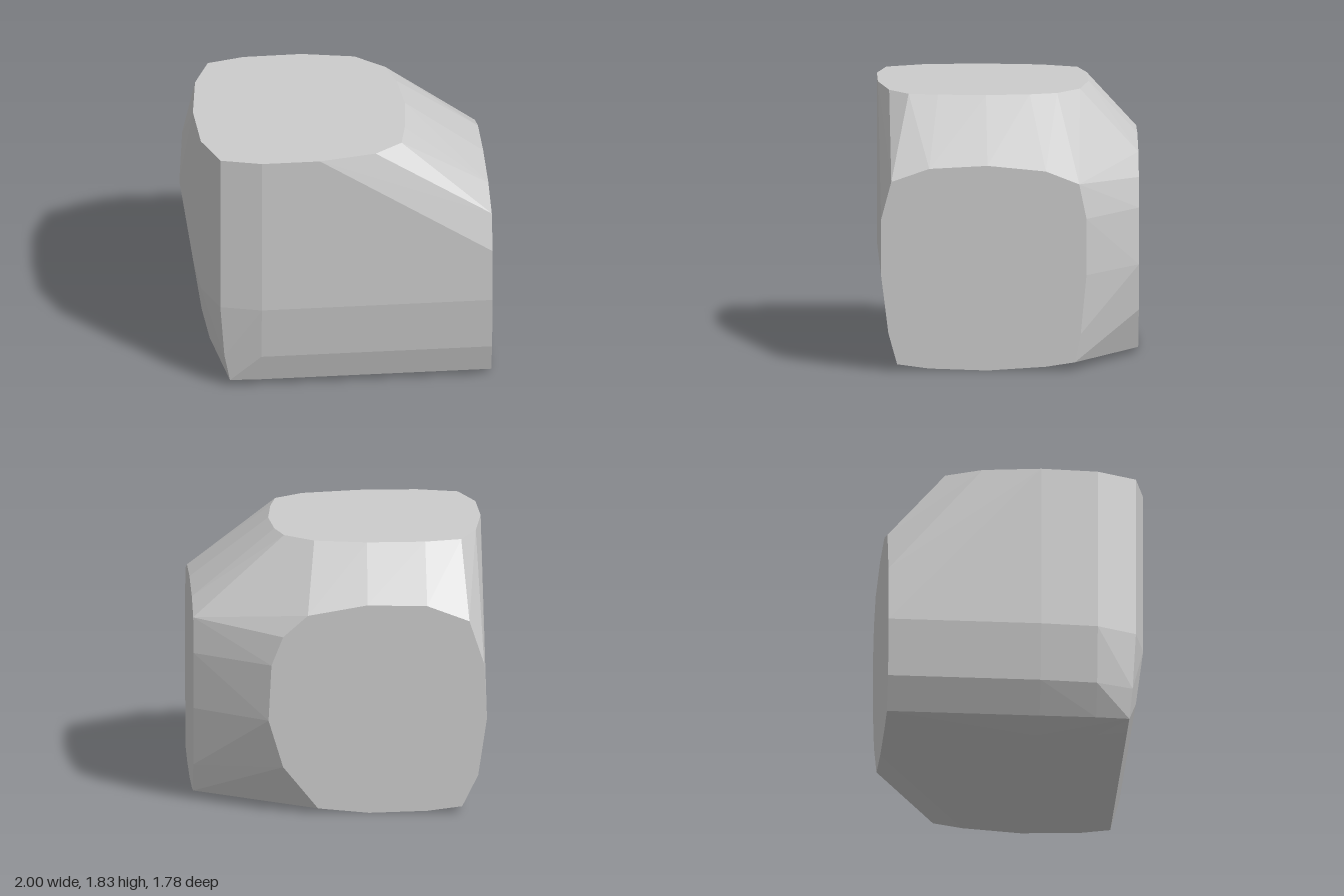
import * as THREE from 'three';
import { ConvexGeometry } from 'three/addons/geometries/ConvexGeometry.js';

const TOP = 1.83, SIDE = 1, BACK = -0.89;

// Flat rounded-square end on the +x side: [z, y]
const sideCap = [
  [0.82, 1.31], [0.56, 1.40], [0.16, 1.42], [-0.24, 1.38], [-0.47, 1.29], [-0.52, 1.05],
  [-0.52, 0.66], [-0.48, 0.25], [-0.44, 0.055], [-0.24, 0.025], [0.16, 0], [0.56, 0.015],
  [0.78, 0.045], [0.84, 0.26], [0.89, 0.66], [0.89, 1.05],
];

// Flat rounded-square end on top: [x, z]
const topCap = [
  [-0.84, -0.49], [-0.59, -0.55], [-0.19, -0.555], [0.17, -0.49], [0.37, -0.33], [0.43, -0.14],
  [0.46, 0.16], [0.43, 0.49], [0.39, 0.69], [0.20, 0.82], [-0.19, 0.89], [-0.59, 0.89],
  [-0.87, 0.82], [-0.98, 0.55], [-1, 0.16], [-0.95, -0.24],
];

// Flat rounded-square end at the back: [x, y]
const backCap = [
  [0.23, 1.40], [-0.18, 1.47], [-0.59, 1.46], [-0.88, 1.35], [-0.98, 1.05], [-1, 0.66],
  [-0.94, 0.26], [-0.83, 0.04], [-0.59, 0.01], [-0.19, 0], [0.16, 0.035], [0.40, 0.33],
  [0.50, 0.66], [0.48, 1.05], [0.40, 1.25],
];

// Rounded lower corner where the three arms meet: [x, y, z]
const corner = [
  [-0.59, 0.66, 0.89], [-0.59, 0.26, 0.84], [-0.59, 0.045, 0.78], [-0.59, 0.015, 0.56], [-0.59, 0, 0.16],
  [-0.87, 0.66, 0.82], [-0.98, 0.66, 0.55], [-1, 0.66, 0.16],
  [-0.84, 0.26, 0.80], [-0.92, 0.26, 0.55], [-0.94, 0.26, 0.16],
  [-0.80, 0.05, 0.78], [-0.82, 0.045, 0.55], [-0.83, 0.04, 0.16],
];

export function createModel() {
  const group = new THREE.Group();
  group.name = 'cornerBlock';

  // Faceted solid wrapped around the three ends and the corner
  const points = [
    ...sideCap.map(([z, y]) => [SIDE, y, z]),
    ...topCap.map(([x, z]) => [x, TOP, z]),
    ...backCap.map(([x, y]) => [x, y, BACK]),
    ...corner,
  ].map((p) => new THREE.Vector3(...p));

  const material = new THREE.MeshStandardMaterial({ color: 0xcccccc, flatShading: true });
  const body = new THREE.Mesh(new ConvexGeometry(points), material);
  body.name = 'facetedBody';
  group.add(body);
  return group;
}
